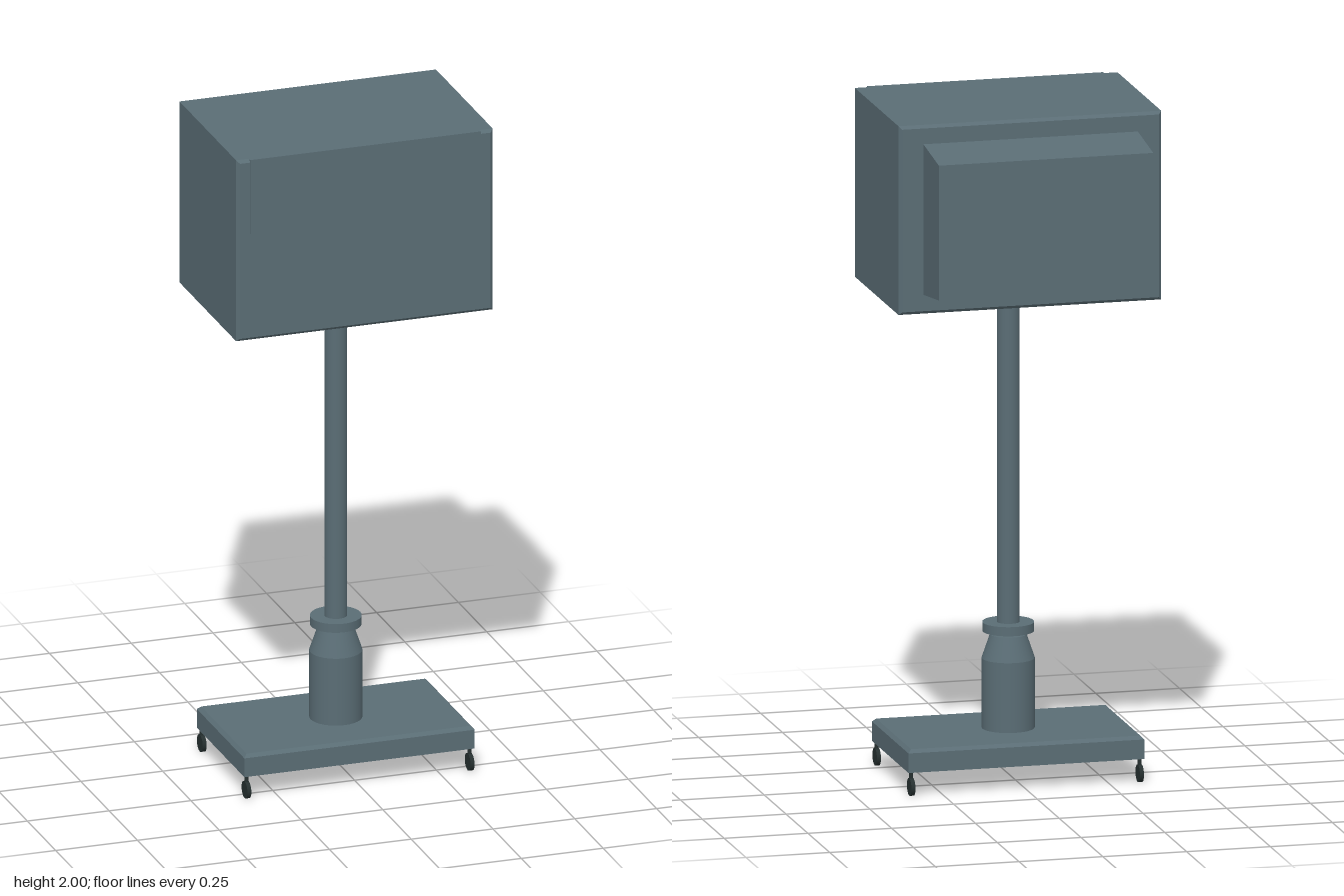
import * as THREE from 'three';

const POLE_Z = 0.084;

// Box whose six faces are inset by chamfer c along every edge
function chamferBox(w, h, d, c) {
  const x = w / 2 - c, y = h / 2 - c;
  const shape = new THREE.Shape([
    new THREE.Vector2(-x, -y), new THREE.Vector2(x, -y),
    new THREE.Vector2(x, y), new THREE.Vector2(-x, y),
  ]);
  const geo = new THREE.ExtrudeGeometry(shape, {
    depth: d - 2 * c, bevelEnabled: true, bevelThickness: c, bevelSize: c, bevelSegments: 1,
  });
  return geo.translate(0, 0, -d / 2 + c);
}

// Box with one end pulled in: the vertices for which test() holds are moved by move()
function shapedBox(w, h, d, test, move) {
  const geo = new THREE.BoxGeometry(w, h, d).toNonIndexed();
  const p = geo.attributes.position;
  const v = new THREE.Vector3();
  for (let i = 0; i < p.count; i++) {
    v.fromBufferAttribute(p, i);
    if (test(v)) move(v);
    p.setXYZ(i, v.x, v.y, v.z);
  }
  geo.computeVertexNormals();
  return geo;
}

export function createModel() {
  const model = new THREE.Group();
  model.name = 'boxOnRollingStand';

  const paint = new THREE.MeshStandardMaterial({ color: 0x5a6d75 });
  paint.name = 'slatePaint';
  const rubber = new THREE.MeshStandardMaterial({ color: 0x263030 });
  rubber.name = 'darkRubber';

  function add(name, geo, mat, x, y, z, parent = model) {
    const mesh = new THREE.Mesh(geo, mat);
    mesh.name = name;
    mesh.position.set(x, y, z);
    parent.add(mesh);
    return mesh;
  }

  // Head: chamfered cabinet, front plate and tapered rear housing
  const head = new THREE.Group();
  head.name = 'head';
  model.add(head);
  add('cabinet', chamferBox(0.784, 0.56, 0.518, 0.009), paint, 0, 1.72, 0.086, head);
  add('frontPlate', new THREE.BoxGeometry(0.704, 0.23, 0.012), paint, 0, 1.885, 0.342, head);
  add('rearHousing', shapedBox(0.64, 0.45, 0.19, (v) => v.z < 0, (v) => { v.y -= Math.sign(v.y) * 0.025; }),
    paint, 0, 1.721, -0.255, head);

  // Pole with the flange under the head and the clamp collar
  add('headFlange', new THREE.CylinderGeometry(0.071, 0.071, 0.026, 32), paint, 0, 1.431, POLE_Z);
  add('pole', new THREE.CylinderGeometry(0.033, 0.033, 1.06, 32), paint, 0, 0.9, POLE_Z);
  add('clampCollar', new THREE.CylinderGeometry(0.075, 0.075, 0.027, 32), paint, 0, 0.438, POLE_Z);

  // Socket: straight sleeve and tapered shoulder
  add('socketSleeve', new THREE.CylinderGeometry(0.077, 0.077, 0.21, 32), paint, 0, 0.24, POLE_Z);
  add('socketShoulder', new THREE.CylinderGeometry(0.053, 0.077, 0.07, 32), paint, 0, 0.38, POLE_Z);

  // Base slab with a chamfered upper edge
  const base = new THREE.Group();
  base.name = 'base';
  model.add(base);
  add('baseSlab', new THREE.BoxGeometry(0.704, 0.058, 0.42), paint, 0, 0.099, POLE_Z, base);
  add('baseTop', shapedBox(0.704, 0.01, 0.42, (v) => v.y > 0, (v) => {
    v.x -= Math.sign(v.x) * 0.01;
    v.z -= Math.sign(v.z) * 0.01;
  }), paint, 0, 0.133, POLE_Z, base);

  // Casters at the four corners
  const wheel = new THREE.CylinderGeometry(0.026, 0.026, 0.012, 24).rotateZ(Math.PI / 2);
  const stem = new THREE.CylinderGeometry(0.006, 0.006, 0.03, 12);
  for (const x of [-0.341, 0.341]) {
    for (const z of [-0.114, 0.281]) {
      const caster = new THREE.Group();
      caster.name = 'caster';
      caster.position.set(x, 0, z);
      model.add(caster);
      add('casterWheel', wheel, rubber, 0, 0.026, 0, caster);
      add('casterStem', stem, rubber, 0, 0.06, 0, caster);
    }
  }
  return model;
}
